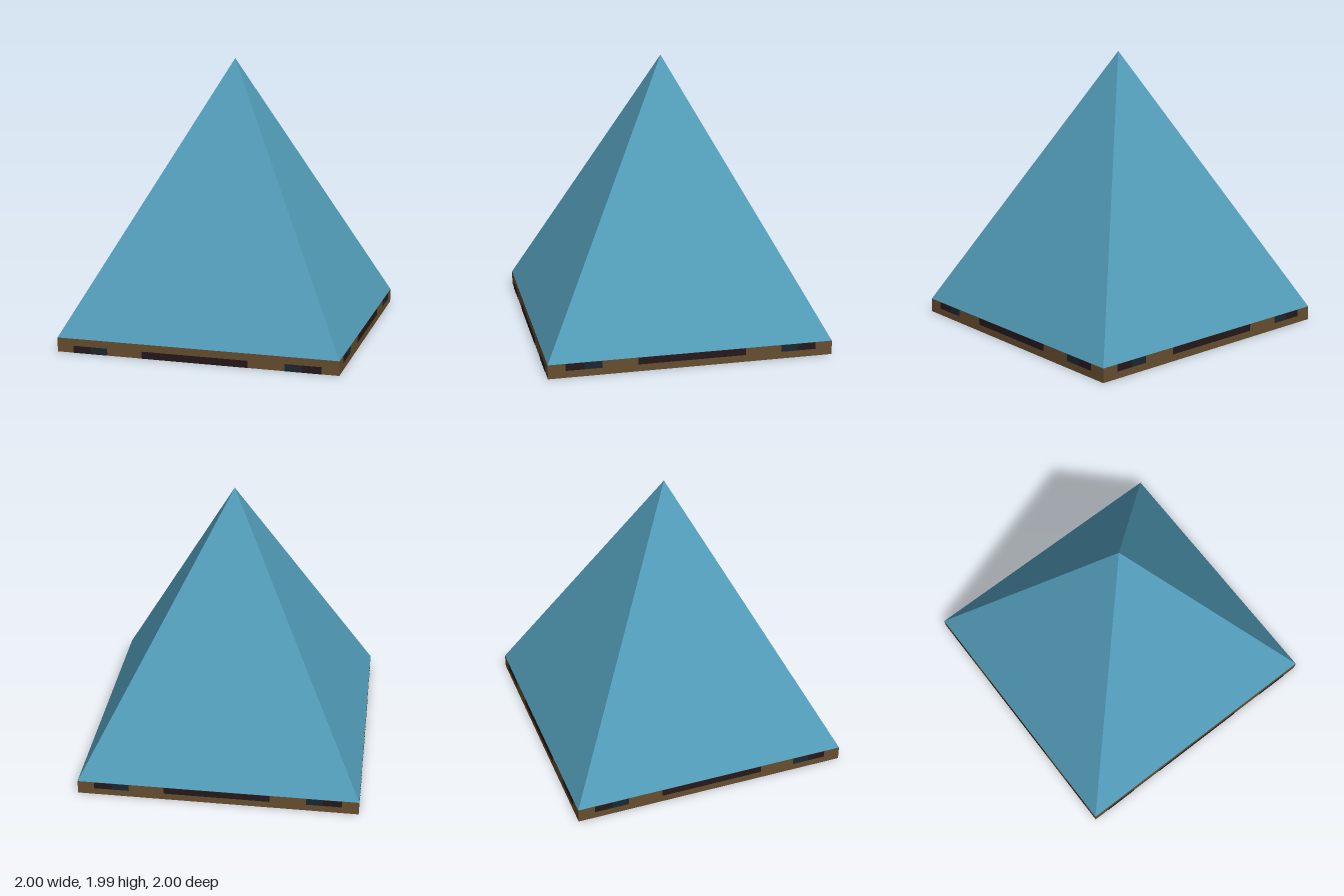
import * as THREE from 'three';
import { mergeGeometries } from 'three/addons/utils/BufferGeometryUtils.js';

const paint = (name, color) => {
  const m = new THREE.MeshStandardMaterial({ color });
  m.name = name;
  return m;
};

export function createModel() {
  const mats = {
    T: paint('teal', 0x529cb9),
    B: paint('brown', 0x664e2f),
    K: paint('dark brown', 0x25191b),
    S: paint('slate', 0x1d272f),
    N: paint('navy', 0x2b2f6c),
    P: paint('purple', 0x6a2fa8),
    V: paint('plum', 0x6a3c90),
  };
  const group = new THREE.Group();
  group.name = 'pyramid';
  const add = (name, geometry, material, parent = group) => {
    const mesh = new THREE.Mesh(geometry, material);
    mesh.name = name;
    parent.add(mesh);
    return mesh;
  };

  // Four-sided body
  const cone = new THREE.ConeGeometry(Math.SQRT2, 1.89, 4, 1, true);
  cone.rotateY(Math.PI / 4);
  const body = cone.toNonIndexed();
  body.computeVertexNormals();
  add('pyramidBody', body, mats.T).position.y = 0.1 + 1.89 / 2;

  // Base slab, with room below for the floor pattern
  add('baseSlab', new THREE.BoxGeometry(2, 0.096, 2), mats.B).position.y = 0.052;

  // Painted marks on the four slab edges; the front ones sit lower
  const marks = [[-0.88, -0.75, 'K'], [-0.75, -0.63, 'S'], [-0.38, 0.375, 'K'],
    [0.63, 0.75, 'S'], [0.75, 0.88, 'K']];
  ['front', 'left', 'back', 'right'].forEach((side, i) => {
    const edge = new THREE.Group();
    edge.name = side + 'EdgeMarks';
    edge.rotation.y = i * Math.PI / 2;
    group.add(edge);
    for (const [x0, x1, key] of marks) {
      const plate = add('edgeMark', new THREE.PlaneGeometry(x1 - x0, 0.05), mats[key], edge);
      plate.position.set((x0 + x1) / 2, i === 0 ? 0.025 : 0.075, 1.002);
    }
  });

  // Underside pinwheel: one quarter, repeated by quarter turns
  const quarter = [
    'BBBBBBBB',
    'BKKKKKKK',
    'BKKPPPPN',
    'BKNSSSNP',
    'BKNSSSSP',
    'BKNSSSVV',
    'BKNNSVST',
    'BKNNPVST',
  ];
  const tiles = {};
  for (let turn = 0; turn < 4; turn++) {
    quarter.forEach((row, r) => [...row].forEach((key, c) => {
      const tile = new THREE.BoxGeometry(0.125, 0.004, 0.125);
      tile.translate(0.9375 - c * 0.125, 0.002, -0.9375 + r * 0.125);
      tile.rotateY(turn * Math.PI / 2);
      (tiles[key] ??= []).push(tile);
    }));
  }
  for (const key in tiles) {
    add('floorPattern ' + mats[key].name, mergeGeometries(tiles[key]), mats[key]);
  }
  return group;
}
